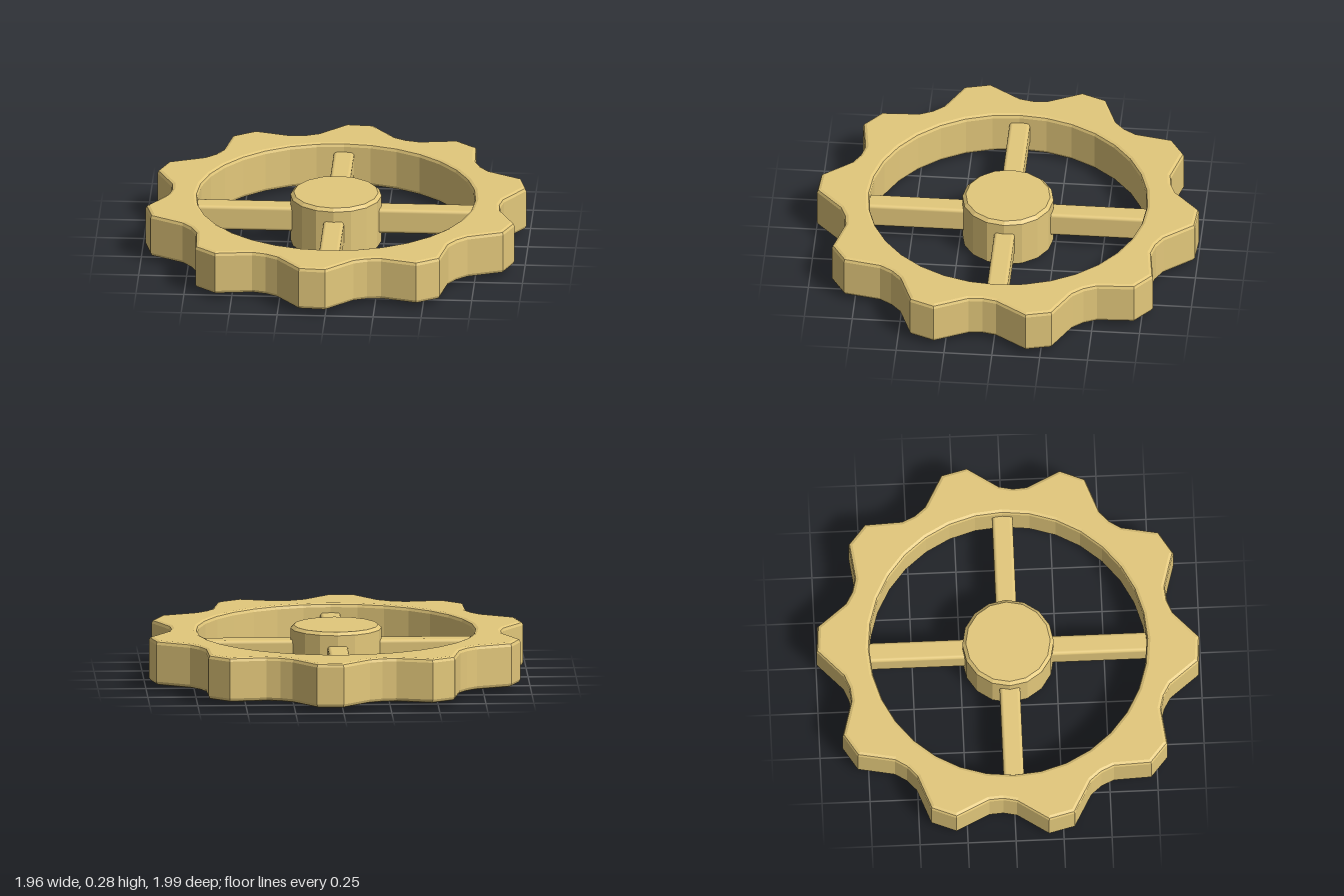
import * as THREE from 'three';
import { RoundedBoxGeometry } from 'three/addons/geometries/RoundedBoxGeometry.js';

const brass = new THREE.MeshStandardMaterial({ color: 0xe3c87b });
brass.name = 'brass';

const TEETH = 10;
const BEVEL = 0.02;

// point at a clockwise angle in degrees, measured from the back
const polar = (deg, r) => {
  const a = THREE.MathUtils.degToRad(deg);
  return new THREE.Vector2(Math.sin(a) * r, Math.cos(a) * r);
};

function addMesh(group, name, geometry) {
  const mesh = new THREE.Mesh(geometry, brass);
  mesh.name = name;
  group.add(mesh);
  return mesh;
}

// toothed ring with a round opening and softened edges
function rimGeometry() {
  const tooth = [[-13.3, 0.875], [-4, 0.997], [4, 0.997], [13.3, 0.875], [18, 0.862]];
  const outline = [];
  for (let i = 0; i < TEETH; i++) {
    for (const [deg, r] of tooth) outline.push(polar(4 + i * 360 / TEETH + deg, r));
  }
  const shape = new THREE.Shape(outline);
  // the opening runs the other way round, so its wall faces inward
  const opening = [];
  for (let i = 0; i < 32; i++) opening.push(polar(-i * 360 / 32, 0.722));
  shape.holes.push(new THREE.Path(opening));
  const geometry = new THREE.ExtrudeGeometry(shape, {
    depth: 0.235 - 2 * BEVEL, bevelThickness: BEVEL, bevelSize: BEVEL,
    bevelOffset: -BEVEL, bevelSegments: 2,
  });
  geometry.rotateX(-Math.PI / 2);
  geometry.translate(0, 0.027 + BEVEL, 0);
  return geometry;
}

// faceted hub with chamfered ends
function hubGeometry() {
  const profile = [[0, 0], [0.22, 0], [0.238, 0.016], [0.238, 0.269], [0.22, 0.285], [0, 0.285]]
    .map(([r, y]) => new THREE.Vector2(r, y));
  const geometry = new THREE.LatheGeometry(profile, 16).toNonIndexed();
  geometry.computeVertexNormals();
  return geometry;
}

export function createModel() {
  const model = new THREE.Group();
  model.name = 'gearWheel';

  addMesh(model, 'toothedRim', rimGeometry());
  addMesh(model, 'hub', hubGeometry());

  // four spokes joining hub and rim
  const spoke = new RoundedBoxGeometry(0.56, 0.135, 0.107, 2, 0.018);
  spoke.translate(0.46, 0.145, 0);
  for (let i = 0; i < 4; i++) {
    addMesh(model, 'spoke' + (i + 1), spoke).rotation.y = i * Math.PI / 2;
  }
  return model;
}
